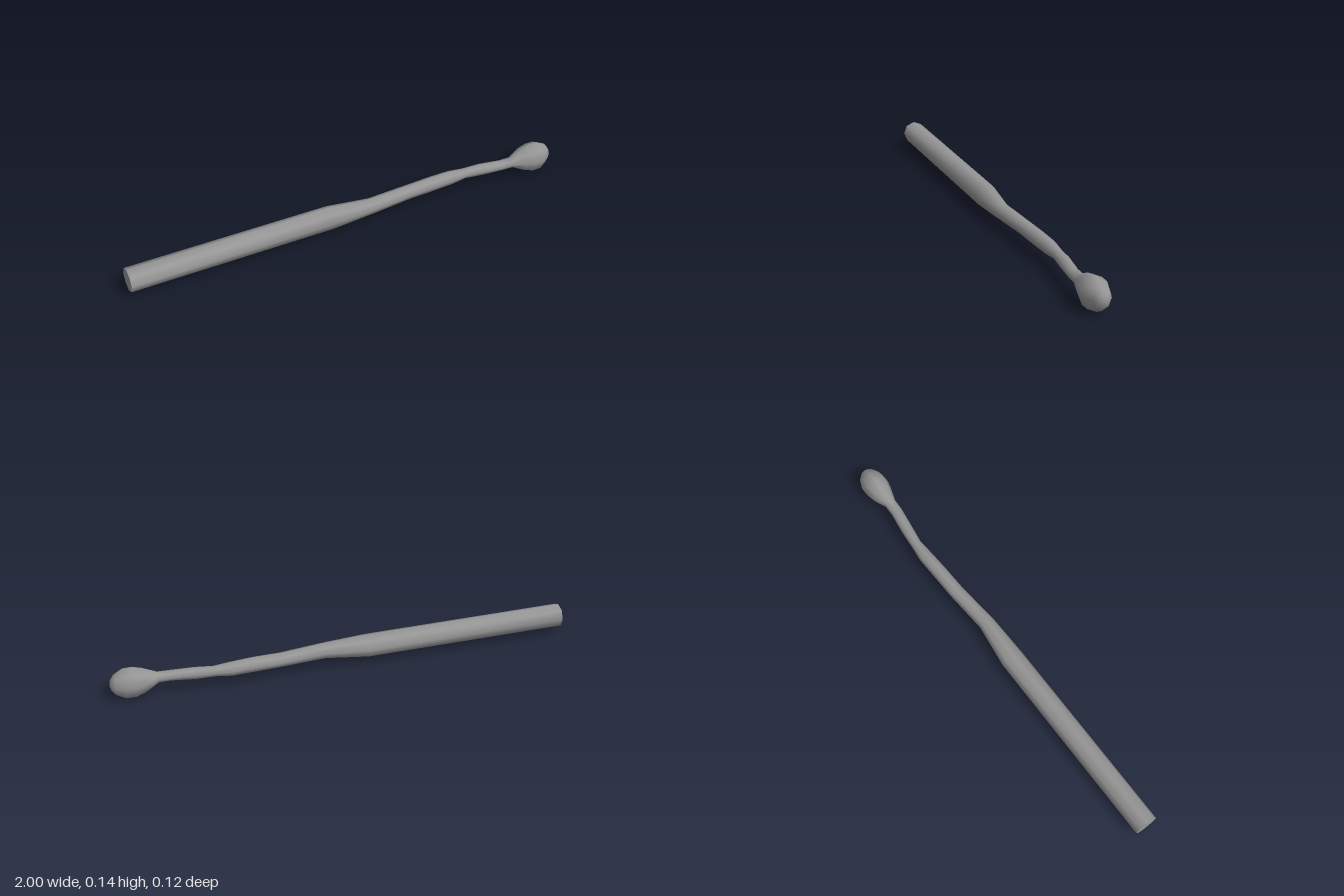
import * as THREE from 'three';

const SIDES = 8;

// Cross-sections from cut end to tip: x, bottom y, top y, back z, front z
const SECTIONS = [
  // straight shaft
  [-1, 0.02, 0.123, -0.06, 0.043],
  [-0.1, 0.02, 0.122, -0.058, 0.043],
  // thin, wavy burnt part
  [0.09, 0.039, 0.108, -0.033, 0.037],
  [0.28, 0.042, 0.103, -0.047, 0.018],
  [0.4, 0.041, 0.106, -0.051, 0.013],
  [0.5, 0.042, 0.103, -0.054, 0.007],
  [0.57, 0.051, 0.096, -0.046, 0.001],
  [0.65, 0.048, 0.1, -0.04, 0.012],
  [0.75, 0.053, 0.095, -0.026, 0.026],
  [0.8, 0.052, 0.096, -0.025, 0.027],
  // bulbous head
  [0.86, 0.016, 0.127, -0.049, 0.047],
  [0.9, 0.001, 0.139, -0.057, 0.057],
  [0.94, 0.002, 0.138, -0.056, 0.056],
  [0.978, 0.024, 0.118, -0.04, 0.037],
  [0.994, 0.045, 0.097, -0.022, 0.021],
  [1, 0.071, 0.071, 0, 0],
];

// Skin of octagonal rings, smooth along and around
function loft(sections) {
  const pos = [], index = [];
  for (const [x, y0, y1, z0, z1] of sections) {
    for (let j = 0; j < SIDES; j++) {
      const a = (j / SIDES) * Math.PI * 2;
      pos.push(x, (y0 + y1) / 2 + ((y1 - y0) / 2) * Math.cos(a),
        (z0 + z1) / 2 + ((z1 - z0) / 2) * Math.sin(a));
    }
  }
  for (let i = 0; i < sections.length - 1; i++) {
    for (let j = 0; j < SIDES; j++) {
      const a = i * SIDES + j, b = i * SIDES + ((j + 1) % SIDES);
      index.push(a, b, a + SIDES, b, b + SIDES, a + SIDES);
    }
  }
  const geo = new THREE.BufferGeometry();
  geo.setAttribute('position', new THREE.Float32BufferAttribute(pos, 3));
  geo.setIndex(index);
  geo.computeVertexNormals();
  return geo;
}

export function createModel() {
  const group = new THREE.Group();
  group.name = 'matchstick';
  const material = new THREE.MeshStandardMaterial({ color: 0x969696 });

  // Tip vertices coincide, so they share one normal along the stick
  const geo = loft(SECTIONS);
  const n = geo.attributes.normal;
  for (let k = n.count - SIDES; k < n.count; k++) n.setXYZ(k, 1, 0, 0);
  const body = new THREE.Mesh(geo, material);
  body.name = 'stickAndHead';

  // Flat cut end
  const cap = new THREE.Mesh(new THREE.CircleGeometry(0.0515, SIDES, Math.PI / 2), material);
  cap.name = 'cutEnd';
  cap.rotation.y = -Math.PI / 2;
  cap.position.set(-1, 0.0715, -0.0085);

  group.add(body, cap);
  return group;
}
